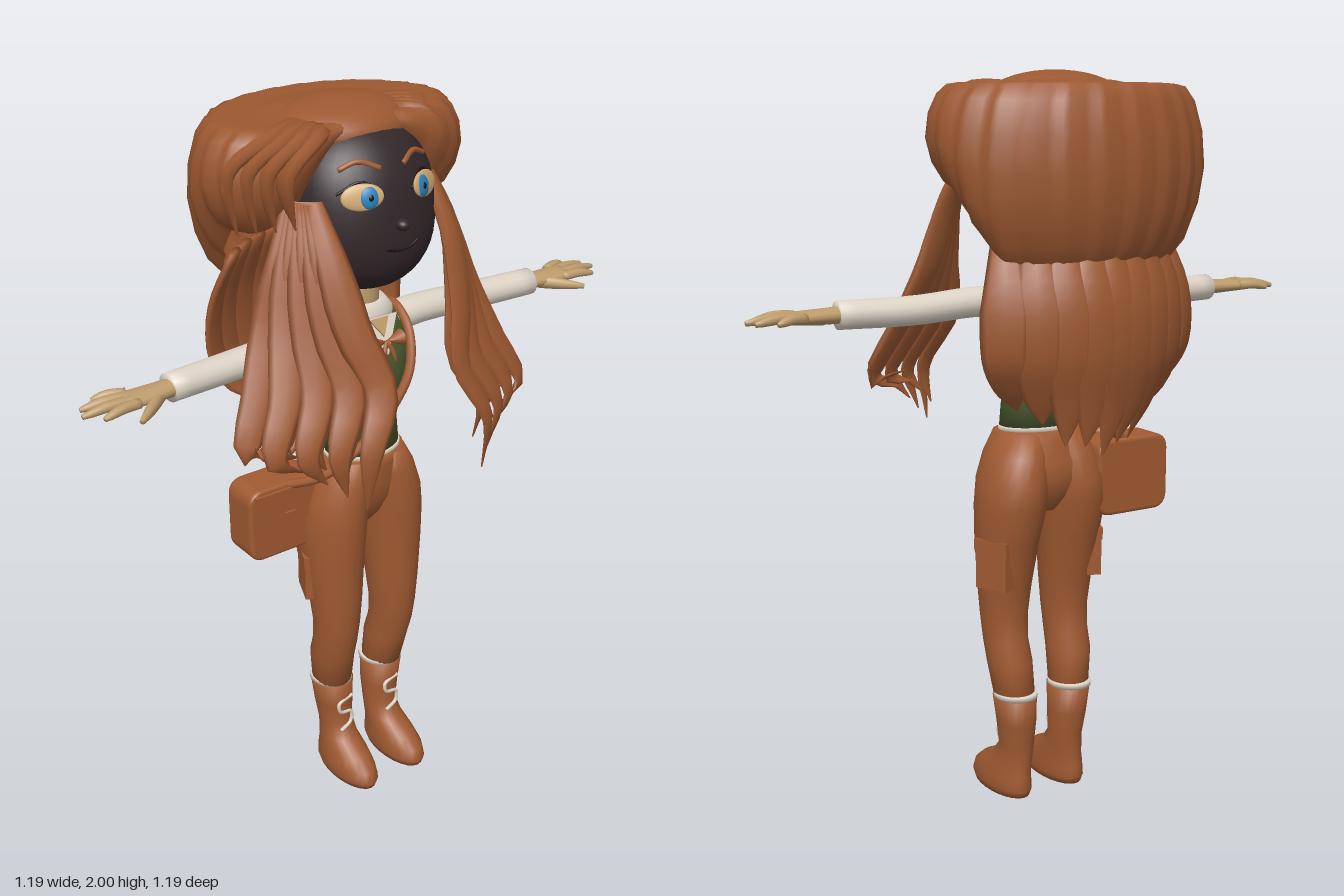
import * as THREE from 'three';

const mat = (name, color, side = THREE.FrontSide) => {
  const m = new THREE.MeshStandardMaterial({ color, side });
  m.name = name;
  return m;
};
const V = (x, y, z) => new THREE.Vector3(x, y, z);

// Joins rings of points (ordered upward, turning from +x to +z) into a smooth skin.
function skin(rings, capStart = true, capEnd = true) {
  const n = rings[0].length, pos = [], idx = [];
  rings.forEach(r => r.forEach(p => pos.push(p.x, p.y, p.z)));
  for (let i = 0; i < rings.length - 1; i++) for (let j = 0; j < n; j++) {
    const k = (j + 1) % n, a = i * n + j, b = a + n, c = i * n + k, d = c + n;
    idx.push(a, b, c, c, b, d);
  }
  const cap = (row, flip) => {
    const c = rings[row].reduce((s, p) => s.add(p), V(0, 0, 0)).divideScalar(n);
    const ci = pos.length / 3;
    pos.push(c.x, c.y, c.z);
    for (let j = 0; j < n; j++) {
      const a = row * n + j, b = row * n + (j + 1) % n;
      idx.push(ci, flip ? b : a, flip ? a : b);
    }
  };
  if (capStart) cap(0, false);
  if (capEnd) cap(rings.length - 1, true);
  const g = new THREE.BufferGeometry();
  g.setAttribute('position', new THREE.Float32BufferAttribute(pos, 3));
  g.setIndex(idx);
  g.computeVertexNormals();
  return g;
}

// Stacked ellipses: [y, centre x, centre z, radius x, radius z]
function loft(rows, seg = 24) {
  return skin(rows.map(([y, cx, cz, rx, rz]) => Array.from({ length: seg }, (_, j) => {
    const a = j / seg * Math.PI * 2;
    return V(cx + rx * Math.cos(a), y, cz + rz * Math.sin(a));
  })));
}
const mirrorRows = (s, rows) => rows.map(([y, cx, ...rest]) => [y, s * cx, ...rest]);

// Elliptical section swept along a curve; w and h are functions of 0..1.
function sweep(pts, w, h, side, steps = 14, seg = 10) {
  const curve = new THREE.CatmullRomCurve3(pts.map(p => V(...p)));
  const rings = [];
  for (let i = 0; i <= steps; i++) {
    const u = i / steps, c = curve.getPoint(u), t = curve.getTangent(u);
    const s = V(...side).addScaledVector(t, -t.dot(V(...side))).normalize();
    const n = s.clone().cross(t);
    rings.push(Array.from({ length: seg }, (_, j) => {
      const a = j / seg * Math.PI * 2;
      return c.clone().addScaledVector(s, w(u) * Math.cos(a)).addScaledVector(n, h(u) * Math.sin(a));
    }));
  }
  return skin(rings);
}

export function createModel() {
  const model = new THREE.Group(), body = new THREE.Group();
  body.name = 'character';
  body.rotation.y = Math.PI / 4;
  model.add(body);

  const brown = mat('russet', 0xa05a32), hairMat = mat('russet hair', 0x9c5831, THREE.DoubleSide);
  const dark = mat('dark face', 0x33272a), black = mat('black', 0x171113);
  const green = mat('vest green', 0x4c5a30), white = mat('shirt white', 0xdcd3c5);
  const skinMat = mat('skin tan', 0xbd9c6c), blue = mat('iris blue', 0x2482bd);
  const eyeMat = mat('eye cream', 0xd0aa74);

  const add = (name, geo, m) => {
    const mesh = new THREE.Mesh(geo, m);
    mesh.name = name;
    body.add(mesh);
    return mesh;
  };
  const tube = (name, pts, r, m, side = [0, 0, 1], steps = 14) => add(name, sweep(pts, () => r, () => r, side, steps, 8), m);
  const ball = (name, m, p, s) => {
    const b = add(name, new THREE.SphereGeometry(1, 28, 20), m);
    b.position.set(...p);
    b.scale.set(...s);
    return b;
  };

  // Trunk and clothing
  add('trouserHips', loft([[.83, 0, -.04, .03, .05], [.87, 0, -.04, .09, .08], [.92, 0, -.038, .145, .1],
    [.97, 0, -.032, .158, .102], [1.03, 0, -.02, .132, .093], [1.055, 0, -.018, .124, .09]]), brown);
  add('shirtHem', loft([[1.05, 0, -.018, .115, .084], [1.066, 0, -.018, .115, .083]]), white);
  add('vest', loft([[1.06, 0, -.018, .112, .08], [1.14, 0, -.018, .104, .077], [1.22, 0, -.012, .114, .088],
    [1.3, 0, -.006, .128, .1], [1.36, 0, -.014, .13, .094], [1.41, 0, -.022, .125, .078], [1.45, 0, -.026, .1, .062]]), green);
  add('shirtCollar', loft([[1.425, 0, -.024, .1, .07], [1.46, 0, -.025, .094, .066], [1.49, 0, -.028, .07, .056]]), white);
  add('neck', loft([[1.44, 0, -.022, .052, .052], [1.6, 0, -.03, .048, .048]]), skinMat);
  for (const [name, w, h, off, m] of [['shirtFront', .062, .1, 0, white], ['openNeck', .03, .05, .006, skinMat]]) {
    const vee = new THREE.Shape([[-w, 0], [0, -h], [w, 0]].map(p => new THREE.Vector2(...p)));
    const plate = add(name, new THREE.ExtrudeGeometry(vee, { depth: .008, bevelEnabled: false }), m);
    plate.position.set(0, 1.455, .046 + off);
    plate.rotation.x = -.5;
  }
  for (const s of [-1, 1]) {
    const bow = add('bowLoop', new THREE.ConeGeometry(.022, .046, 10), brown);
    bow.position.set(s * .024, 1.405, .09);
    bow.rotation.z = s * Math.PI / 2;
    tube('bowTail', [[0, 1.405, .09], [s * .012, 1.38, .1], [s * .02, 1.35, .104]], .006, brown, [1, 0, 0], 5);
  }

  for (const s of [-1, 1]) {
    // Arms and hands
    add('sleeve', sweep([[s * .07, 1.405, -.025], [s * .2, 1.41, -.028], [s * .38, 1.4, -.03], [s * .585, 1.4, -.012]],
      u => .05 - .01 * u, u => .042 - .005 * u, [0, 0, 1], 14, 16), white);
    add('palm', sweep([[s * .55, 1.4, -.012], [s * .62, 1.4, -.01], [s * .71, 1.4, -.01]],
      u => .025 + .019 * u, u => .024 - .008 * u, [0, 0, 1], 8, 14), skinMat);
    [[-.045, .765, -.07], [-.022, .81, -.038], [.003, .822, -.002], [.024, .785, .04]].forEach(([z, tx, tz]) =>
      add('finger', sweep([[s * .685, 1.402, z], [s * (.685 + tx) / 2, 1.404, (z + tz) / 2], [s * tx, 1.395, tz]],
        u => .0145 - .008 * u ** 4, u => .0135 - .007 * u ** 4, [0, 0, 1], 7, 8), skinMat));
    add('thumb', sweep([[s * .615, 1.395, .0], [s * .665, 1.39, .045], [s * .712, 1.385, .084]],
      u => .019 - .012 * u * u, u => .016 - .009 * u * u, [0, 1, 0], 6, 8), skinMat);

    // Legs, pockets and boots
    add('trouserLeg', loft(mirrorRows(s, [[.29, .09, -.045, .056, .06], [.4, .098, -.03, .062, .07], [.46, .1, -.012, .061, .07],
      [.53, .1, -.004, .065, .073], [.62, .1, -.008, .074, .082], [.75, .1, -.022, .086, .1], [.85, .096, -.034, .094, .118],
      [.92, .09, -.034, .092, .12], [.99, .076, -.028, .082, .107], [1.05, .06, -.018, .062, .084]])), brown);
    add('boot', loft(mirrorRows(s, [[0, .088, .03, .056, .12], [.02, .088, .03, .062, .128], [.05, .088, .025, .06, .12],
      [.08, .086, .008, .055, .1], [.11, .084, -.022, .05, .07], [.15, .082, -.04, .048, .054],
      [.22, .085, -.045, .055, .06], [.3, .09, -.045, .061, .066]])), brown);
    add('sockBand', loft(mirrorRows(s, [[.298, .09, -.049, .061, .067], [.312, .09, -.049, .06, .066]])), white);
    tube('bootLace', [[s * .085 + .026, .25, .013], [s * .085 - .022, .235, .016], [s * .085 - .018, .205, .017],
      [s * .085 + .022, .19, .012], [s * .085 + .02, .155, .014], [s * .085 - .02, .14, .022]], .0055, white, [0, 0, 1], 24);
    for (const [name, w, h, d, y] of [['cargoPocket', .04, .13, .1, .69], ['pocketFlap', .046, .035, .106, .745]]) {
      const pocket = add(name, new THREE.BoxGeometry(w, h, d), brown);
      pocket.position.set(s * .158, y, -.055);
      pocket.rotation.y = s * .4;
    }
  }

  // Shoulder bag with its strap
  const sh = new THREE.Shape(), bw = .108, bh = .098, r = .035;
  sh.moveTo(-bw + r, -bh).lineTo(bw - r, -bh).quadraticCurveTo(bw, -bh, bw, -bh + r).lineTo(bw, bh - r)
    .quadraticCurveTo(bw, bh, bw - r, bh).lineTo(-bw + r, bh).quadraticCurveTo(-bw, bh, -bw, bh - r)
    .lineTo(-bw, -bh + r).quadraticCurveTo(-bw, -bh, -bw + r, -bh);
  const bag = add('bag', new THREE.ExtrudeGeometry(sh, { depth: .09, bevelSize: .01, bevelThickness: .012, bevelSegments: 3 }), brown);
  bag.position.set(-.245, .908, -.125);
  const bagFlap = add('bagFlap', new THREE.BoxGeometry(.205, .105, .012), brown);
  bagFlap.position.set(-.245, .95, -.02);
  const clasp = add('bagClasp', new THREE.BoxGeometry(.032, .045, .014), brown);
  clasp.position.set(-.245, .912, -.014);
  tube('strap', [[-.24, 1.0, -.04], [-.17, 1.04, .04], [-.08, 1.12, .085], [.01, 1.21, .1], [.07, 1.31, .1],
    [.1, 1.41, .05], [.1, 1.455, -.03], [.07, 1.39, -.115], [0, 1.24, -.12], [-.1, 1.1, -.13], [-.24, 1.0, -.11]],
    .013, brown, [.3, .1, .9], 60);

  // Head with a full jaw that comes slightly forward, and the face on it
  const H = { x: .01, y: 1.747, rx: .2, ry: .218, rz: .165 };
  const fall = y => Math.abs((y - H.y) / H.ry) ** 2.5;
  const midZ = y => -.04 + .13 * (1.8 - y);
  add('head', loft(Array.from({ length: 25 }, (_, i) => {
    const y = H.y - H.ry * Math.cos(Math.PI * (i + .3) / 24.6), q = Math.sqrt(1 - fall(y));
    return [y, H.x, midZ(y), H.rx * q, H.rz * q];
  }), 36), dark);
  const onFace = (x, y, off = 0) => [H.x + x, y, midZ(y) + off + H.rz * Math.sqrt(1 - (x / H.rx) ** 2 - fall(y))];
  const plate = (name, m, x, y, sx, sy, off) => {
    const p = onFace(x, y), n = V(x / H.rx ** 2, (y - H.y) / H.ry ** 2, (p[2] - midZ(y)) / H.rz ** 2).normalize();
    const b = ball(name, m, V(...p).addScaledVector(n, off).toArray(), [sx, sy, .009]);
    b.quaternion.setFromUnitVectors(V(0, 0, 1), n);
  };
  for (const s of [-1, 1]) {
    plate('eye', eyeMat, s * .095, 1.808, .054, .033, .001);
    plate('iris', blue, s * .08, 1.806, .025, .027, .005);
    plate('pupil', black, s * .078, 1.806, .009, .011, .0075);
    tube('eyelid', [onFace(s * .042, 1.81, .002), onFace(s * .092, 1.843, .003), onFace(s * .148, 1.814, .002)], .0035, black);
    tube('eyebrow', [onFace(s * .035, 1.868), onFace(s * .085, 1.885), onFace(s * .13, 1.868)], .007, brown);
    ball('ear', dark, [H.x + s * .197, 1.745, -.06], [.02, .05, .033]);
  }
  ball('nose', dark, onFace(0, 1.73, .004), [.018, .015, .02]);
  tube('mouth', [onFace(-.045, 1.672), onFace(-.01, 1.664), onFace(.03, 1.668), onFace(.058, 1.682)], .0035, black);

  // Big swept hair crown, open beneath and raised over the face
  const profile = [[.78, 0], [.88, .1], [.96, .28], [1, .5], [.98, .72], [.92, .9], [.85, .985], [.78, 1], [.62, .99], [.5, .995], [.34, 1.02], [.15, 1.03]];
  const seg = 120;
  add('hairCrown', skin(profile.map(([rad, h]) => Array.from({ length: seg }, (_, j) => {
    const a = j / seg * Math.PI * 2, s = Math.sin(a), f = Math.max(0, s);
    const low = s < 0 ? 1.7 - .17 * Math.min(1, -2 * s) : 1.7 + .24 * f ** 4;
    const q = rad * (1 + (rad > .7 ? .035 : .01) * ((j % 5) / 5 - .5));
    const y = low + (1.965 - low) * h;
    return V(.385 * Math.cos(a) * q, y, -.16 + q * (s > 0 ? .25 * s - .09 * f ** 8 : .28 * s));
  })), false, true), hairMat);
  ball('hairDome', hairMat, [.01, 1.925, -.122], [.19, .075, .155]);

  const lock = (name, pts, w, th, side) => add(name, sweep(pts,
    u => Math.max(.002, w * Math.min(1, .5 + 1.6 * u) * (1 - u ** 4)), u => Math.max(.002, th * (1 - u ** 3)), side, 16, 8), hairMat);

  // Long hair down the back
  for (let i = -4; i <= 4; i++) {
    const e = i / 4, z = -.405 + .1 * e * e, x = .265 * e;
    lock('backLock', [[x * .9, 1.6, z + .06], [x * 1.02, 1.45, z + .005], [x * 1.03, 1.3, z], [x * .92, 1.17 + .05 * e * e, z + .025],
      [x * .72 + .02, 1.04 + .12 * e * e + .02 * (i & 1), z + .045]], .064, .014, [1, 0, .8 * e]);
  }
  for (const s of [-1, 1]) {
    // Wavy locks falling before the shoulders, in two staggered layers
    for (let i = 0; i < 8; i++) {
      const e = i / 7, odd = i % 2, x = .15 + .245 * e, z = .25 - .13 * e - .05 * odd;
      lock('frontLock', [[s * (.18 + .03 * e), 1.79, .03 - .05 * e], [s * (.185 + .07 * e), 1.67, .11 - .1 * e],
        [s * (.17 + .14 * e), 1.5, .18 - .13 * e - .03 * odd], [s * (x - .02), 1.35, z - .01], [s * (x + .04), 1.21, z + .03],
        [s * (x + .04 - .1 * e), 1.05 + .13 * e + .04 * odd, z + .015 + .03 * e]], .05, .016, [s, 0, -.45]);
    }
    // Fringe swept from the crown to the temples
    const back = s > 0 ? .11 : .04;
    for (let i = 0; i < 4; i++) lock('templeLock', [[s * .12, 1.945, .01 - back - .03 * i], [s * (.19 + .02 * i), 1.945, .075 - back - .03 * i],
      [s * (.26 + .03 * i), 1.87, .07 - back - .04 * i], [s * (.24 + .03 * i), 1.74 - .01 * i, .08 - back - .04 * i]], .05, .022, [0, .3, 1]);
  }
  return model;
}
